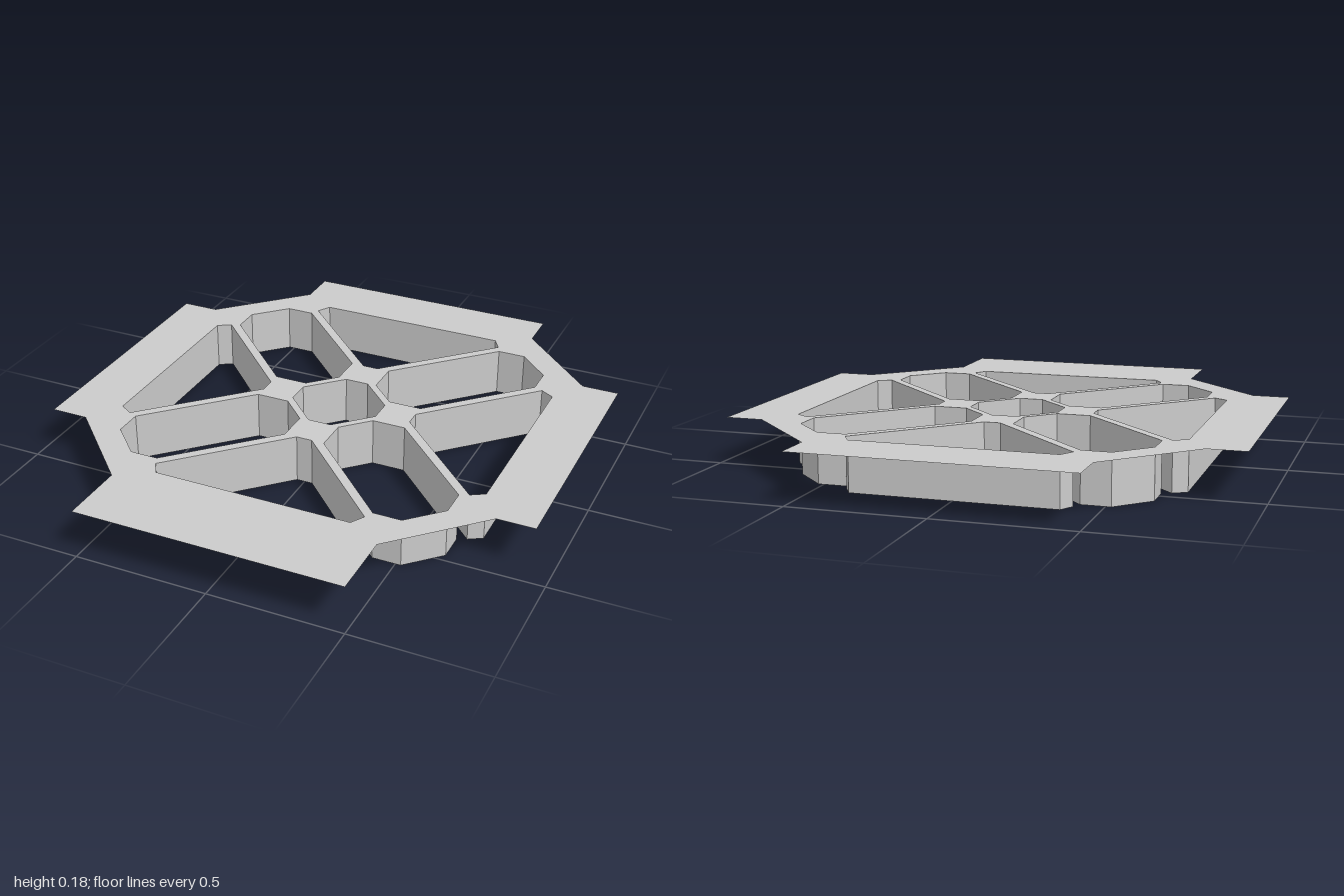
import * as THREE from 'three';

const HEIGHT = 0.183;
const OFFSET_Z = -0.05; // hub sits slightly behind the plate centre

// Turn a point list by a number of quarter turns
const turn = (pts, n) => pts.map(([x, y]) => {
  for (let i = 0; i < n; i++) [x, y] = [-y, x];
  return new THREE.Vector2(x, y);
});

// Openings, drawn with +y toward the back, listed counter-clockwise
const hub = [[0.17, -0.045], [0.17, 0.045], [0.045, 0.17], [-0.045, 0.17],
  [-0.17, 0.045], [-0.17, -0.045], [-0.045, -0.17], [0.045, -0.17]];
const side = [[0.3, -0.03], [0.67, -0.4], [0.72, -0.37], [0.72, 0.37], [0.67, 0.4], [0.3, 0.03]];
const corner = [[0.3, 0.078], [0.637, 0.415], [0.637, 0.52], [0.52, 0.637],
  [0.415, 0.637], [0.078, 0.3], [0.078, 0.175], [0.175, 0.078]];

// Open vertical wall following a closed outline, facing into the opening
function wallGeometry(pts) {
  const pos = [];
  pts.forEach((a, i) => {
    const b = pts[(i + 1) % pts.length];
    const A = [a.x, 0, -a.y], B = [b.x, 0, -b.y];
    const C = [b.x, HEIGHT, -b.y], D = [a.x, HEIGHT, -a.y];
    pos.push(...A, ...C, ...B, ...A, ...D, ...C);
  });
  const g = new THREE.BufferGeometry();
  g.setAttribute('position', new THREE.Float32BufferAttribute(pos, 3));
  g.computeVertexNormals();
  return g;
}

export function createModel() {
  const model = new THREE.Group();
  model.name = 'ribbedFrame';
  const material = new THREE.MeshStandardMaterial({
    color: 0xcccccc, side: THREE.DoubleSide, flatShading: true,
  });
  const add = (geometry, name) => {
    const mesh = new THREE.Mesh(geometry, material);
    mesh.name = name;
    mesh.position.z = OFFSET_Z;
    model.add(mesh);
  };

  const openings = [{ name: 'hubWall', pts: turn(hub, 0) }];
  for (let i = 0; i < 4; i++) {
    openings.push({ name: 'sideWall' + (i + 1), pts: turn(side, i) });
    openings.push({ name: 'cornerWall' + (i + 1), pts: turn(corner, i) });
  }

  // Thin top plate with four tabs and all openings cut out
  const half = [[0.5, -1.05], [0.5, -0.8], [0.8, -0.5], [0.94, -0.5],
    [0.94, 0.5], [0.8, 0.5], [0.5, 0.8], [0.5, 0.95]];
  const mirrored = half.map(([x, y]) => [-x, y]).reverse();
  const plate = new THREE.Shape(turn([...half, ...mirrored], 0));
  plate.holes = openings.map((o) => new THREE.Path(o.pts));
  add(new THREE.ShapeGeometry(plate).rotateX(-Math.PI / 2).translate(0, HEIGHT, 0), 'topPlate');

  // Walls hanging down around every opening
  openings.forEach((o) => add(wallGeometry(o.pts), o.name));
  return model;
}
